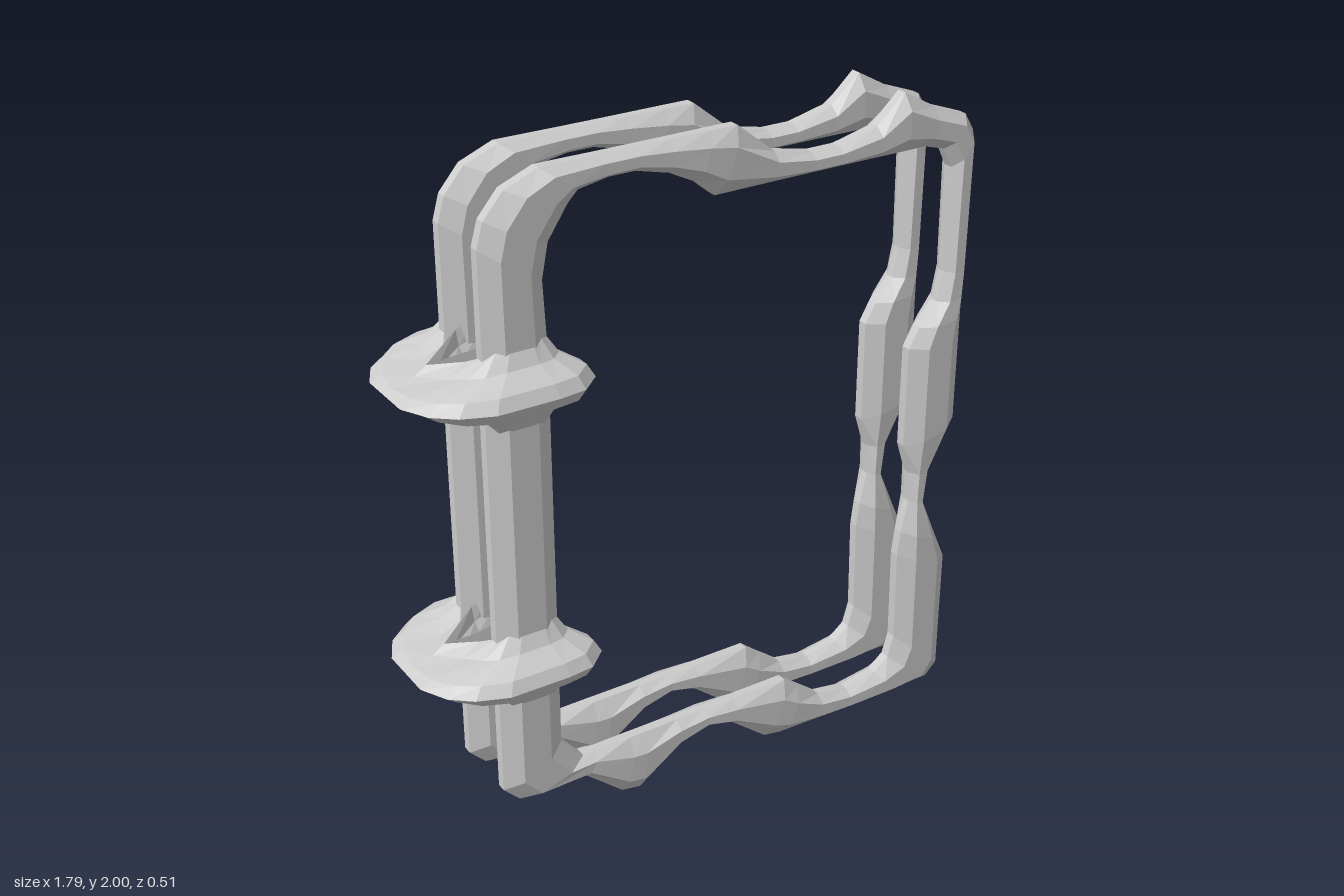
import * as THREE from 'three';

const material = new THREE.MeshStandardMaterial({ color: 0xcccccc, flatShading: true, side: THREE.DoubleSide });

// Skin a closed sequence of cross-sections; each section may be open or closed.
function loft(sections, closeSection) {
  const n = sections.length, m = sections[0].length, index = [];
  for (let i = 0; i < n; i++) {
    const p = i * m, q = ((i + 1) % n) * m;
    for (let j = 0; j < (closeSection ? m : m - 1); j++) {
      const k = (j + 1) % m;
      index.push(p + j, q + j, q + k, p + j, q + k, p + k);
    }
  }
  const g = new THREE.BufferGeometry();
  g.setAttribute('position', new THREE.Float32BufferAttribute(sections.flat(2), 3));
  g.setIndex(index);
  g.computeVertexNormals();
  return g;
}

// Gnarled rectangular hoop: outer x, y and inner x, y, counter-clockwise.
const bottomRail = [
  [-0.68, 0.17, -0.49, 0.27], [-0.63, 0.12, -0.42, 0.19], [-0.42, 0.12, -0.38, 0.19],
  [-0.29, 0.01, -0.26, 0.19], [-0.23, 0, -0.22, 0.19], [-0.1, 0.105, -0.1, 0.19],
  [0, 0.135, 0, 0.19], [0.1, 0.105, 0.1, 0.19], [0.22, 0.01, 0.29, 0.19],
  [0.28, 0, 0.34, 0.15], [0.42, 0, 0.42, 0.09], [0.53, 0, 0.53, 0.07],
  [0.72, 0, 0.64, 0.09], [0.85, 0, 0.69, 0.13],
];
const farPost = [
  [0.89, 0.04, 0.71, 0.2], [0.89, 0.44, 0.705, 0.5], [0.85, 0.53, 0.715, 0.58],
  [0.785, 0.68, 0.74, 0.68], [0.8, 0.79, 0.735, 0.78], [0.89, 0.93, 0.705, 0.88],
  [0.89, 1.2, 0.705, 1.2], [0.89, 1.28, 0.74, 1.26], [0.89, 1.34, 0.8, 1.33],
  [0.89, 1.42, 0.82, 1.42], [0.89, 1.84, 0.82, 1.74],
];
const topRail = [
  [0.86, 1.89, 0.79, 1.8], [0.75, 1.93, 0.72, 1.82], [0.64, 1.99, 0.64, 1.82],
  [0.55, 1.91, 0.55, 1.82], [0.42, 1.88, 0.42, 1.82], [0.33, 1.88, 0.33, 1.82],
  [0.21, 1.905, 0.2, 1.82], [0.09, 2, 0.02, 1.82], [0, 2, -0.04, 1.87],
  [-0.12, 2, -0.12, 1.91], [-0.22, 2, -0.22, 1.935], [-0.33, 2, -0.3, 1.935],
  [-0.5, 2, -0.39, 1.92],
];
const collarPost = [
  [-0.6, 1.96, -0.42, 1.89], [-0.66, 1.89, -0.48, 1.8], [-0.68, 1.82, -0.5, 1.7],
  [-0.68, 1.5, -0.49, 1.5], [-0.68, 0.5, -0.49, 0.5],
];

// Eight-sided section: position from outer (0) to inner (1), side factor.
const octagon = [[0, -0.3], [0, 0.3], [0.27, 1], [0.73, 1], [1, 0.3], [1, -0.3], [0.73, -1], [0.27, -1]];

function hoopGeometry() {
  return loft([...bottomRail, ...farPost, ...topRail, ...collarPost].map(([ox, oy, ix, iy]) => {
    const half = Math.min(0.05, 0.036 + 0.1 * Math.hypot(ix - ox, iy - oy));
    return octagon.map(([t, s]) => [ox + (ix - ox) * t, oy + (iy - oy) * t, s * half]);
  }), true);
}

// Horseshoe collar, +z half: rim x, z, then core x, z, then relative height.
const collarHalf = [
  [-0.9, 0, -0.78, 0, 0.45], [-0.9, 0.09, -0.7, 0.06, 0.55], [-0.86, 0.17, -0.67, 0.11, 0.75],
  [-0.8, 0.22, -0.65, 0.14, 0.9], [-0.71, 0.255, -0.61, 0.145, 1], [-0.53, 0.255, -0.55, 0.145, 1],
  [-0.45, 0.245, -0.52, 0.135, 1], [-0.39, 0.19, -0.5, 0.115, 1], [-0.39, 0.15, -0.5, 0.095, 1],
  [-0.45, 0.05, -0.52, 0.07, 1], [-0.6, 0.045, -0.6, 0.07, 1], [-0.65, 0.035, -0.66, 0.065, 0.8],
  [-0.7, 0, -0.78, 0, 0.45],
];
// Flared profile: height, spread from core (0) to rim (1).
const flare = [[-0.13, 0], [-0.07, 0.3], [-0.035, 0.83], [0, 1], [0.035, 0.83], [0.07, 0.3], [0.125, 0]];

function collarGeometry() {
  const mirrored = collarHalf.slice(1, -1).reverse().map(([x, z, cx, cz, h]) => [x, -z, cx, -cz, h]);
  return loft([...collarHalf, ...mirrored].map(([x, z, cx, cz, h]) =>
    flare.map(([y, t]) => [cx + (x - cx) * t, y * h, cz + (z - cz) * t])), false);
}

export function createModel() {
  const model = new THREE.Group();
  model.name = 'twinHoopFrame';

  // Two parallel hoops, front and back
  const hoop = hoopGeometry();
  for (const [name, z] of [['frontHoop', 0.105], ['backHoop', -0.105]]) {
    const mesh = new THREE.Mesh(hoop, material);
    mesh.name = name;
    mesh.position.z = z;
    model.add(mesh);
  }

  // Collars binding the two hoops together
  const collar = collarGeometry();
  for (const [name, y] of [['upperCollar', 1.43], ['lowerCollar', 0.58]]) {
    const mesh = new THREE.Mesh(collar, material);
    mesh.name = name;
    mesh.position.y = y;
    model.add(mesh);
  }
  return model;
}
